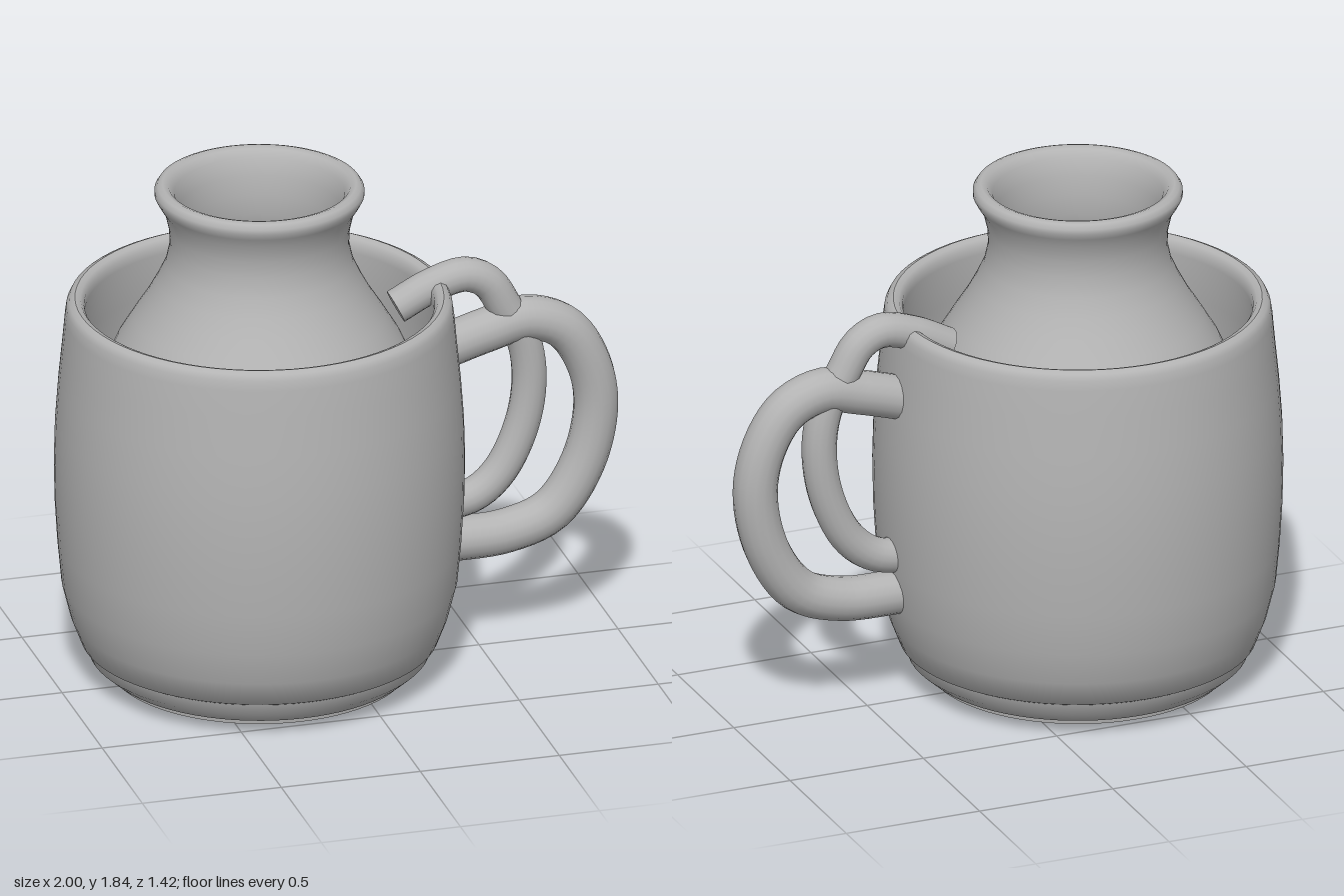
import * as THREE from 'three';
import { toCreasedNormals } from 'three/addons/utils/BufferGeometryUtils.js';

const AXIS_X = -0.29; // shared axis of the mug and the jug

export function createModel() {
  const model = new THREE.Group();
  model.name = 'mugWithJug';
  const clay = new THREE.MeshStandardMaterial({ color: 0xb3b3b3 });
  clay.name = 'grey clay';

  const add = (name, geometry) => {
    const mesh = new THREE.Mesh(geometry, clay);
    mesh.name = name;
    model.add(mesh);
    return mesh;
  };

  // Turned vessel: profile runs up the outside and down the inside
  const turned = (name, profile) => {
    const points = profile.map(([r, y]) => new THREE.Vector2(r, y));
    add(name, toCreasedNormals(new THREE.LatheGeometry(points, 72), 0.75)).position.x = AXIS_X;
  };

  // Round handle with flat ends, bent in the xy plane
  const handle = (name, path, radius) => {
    const curve = new THREE.CatmullRomCurve3(path.map(([x, y]) => new THREE.Vector3(x, y, 0)));
    add(name, new THREE.TubeGeometry(curve, 48, radius, 16, false));
    [0, 1].forEach((t) => {
      const cap = add(name + (t ? 'LowerEnd' : 'UpperEnd'), new THREE.CircleGeometry(radius, 16));
      const out = curve.getTangentAt(t).multiplyScalar(t ? 1 : -1);
      cap.position.copy(curve.getPointAt(t));
      cap.quaternion.setFromUnitVectors(new THREE.Vector3(0, 0, 1), out);
    });
  };

  // Mug: stepped foot, barrel wall, rounded rim and hollow inside
  turned('mugBody', [
    [0, 0], [0.44, 0], [0.475, 0.01], [0.52, 0.022], [0.522, 0.038],
    [0.545, 0.045], [0.59, 0.085], [0.605, 0.13], [0.62, 0.138],
    [0.655, 0.23], [0.685, 0.35], [0.699, 0.5], [0.708, 0.65], [0.711, 0.8],
    [0.707, 0.95], [0.696, 1.1], [0.682, 1.24], [0.673, 1.34],
    [0.668, 1.375], [0.658, 1.396], [0.638, 1.405], [0.618, 1.398],
    [0.606, 1.38], [0.604, 1.35], [0.615, 1.2], [0.635, 1.0], [0.64, 0.8],
    [0.625, 0.4], [0.57, 0.2], [0.5, 0.1], [0, 0.1],
  ]);

  // Jug: wide hidden body, sloping shoulder, narrow neck and flared lip
  turned('jugBody', [
    [0, 0.11], [0.45, 0.11], [0.53, 0.22], [0.58, 0.4], [0.605, 0.6],
    [0.605, 0.8], [0.585, 0.98], [0.545, 1.13], [0.49, 1.25], [0.435, 1.34],
    [0.39, 1.41], [0.355, 1.475], [0.325, 1.54], [0.31, 1.61], [0.313, 1.67],
    [0.328, 1.735], [0.35, 1.77], [0.363, 1.795], [0.363, 1.812], [0.352, 1.829],
    [0.335, 1.835], [0.315, 1.828], [0.295, 1.8], [0.278, 1.74], [0.27, 1.67],
    [0.27, 1.6], [0.285, 1.53], [0.32, 1.46], [0.4, 1.33], [0.5, 1.13],
    [0.545, 0.98], [0.56, 0.7], [0.54, 0.4], [0.46, 0.17], [0, 0.17],
  ]);

  // Large outer handle joins the mug wall
  handle('mugHandle', [
    [0.37, 1.138], [0.53, 1.185], [0.67, 1.215], [0.8, 1.165], [0.885, 1.04],
    [0.92, 0.87], [0.875, 0.65], [0.76, 0.48], [0.6, 0.42], [0.37, 0.41],
  ], 0.078);

  // Slimmer handle rises over the rim from the jug and returns through the wall
  handle('jugHandle', [
    [0.2, 1.31], [0.33, 1.375], [0.45, 1.403], [0.53, 1.365], [0.595, 1.26],
    [0.655, 1.15], [0.68, 1.0], [0.655, 0.82], [0.575, 0.65], [0.48, 0.57], [0.32, 0.54],
  ], 0.061);

  return model;
}
